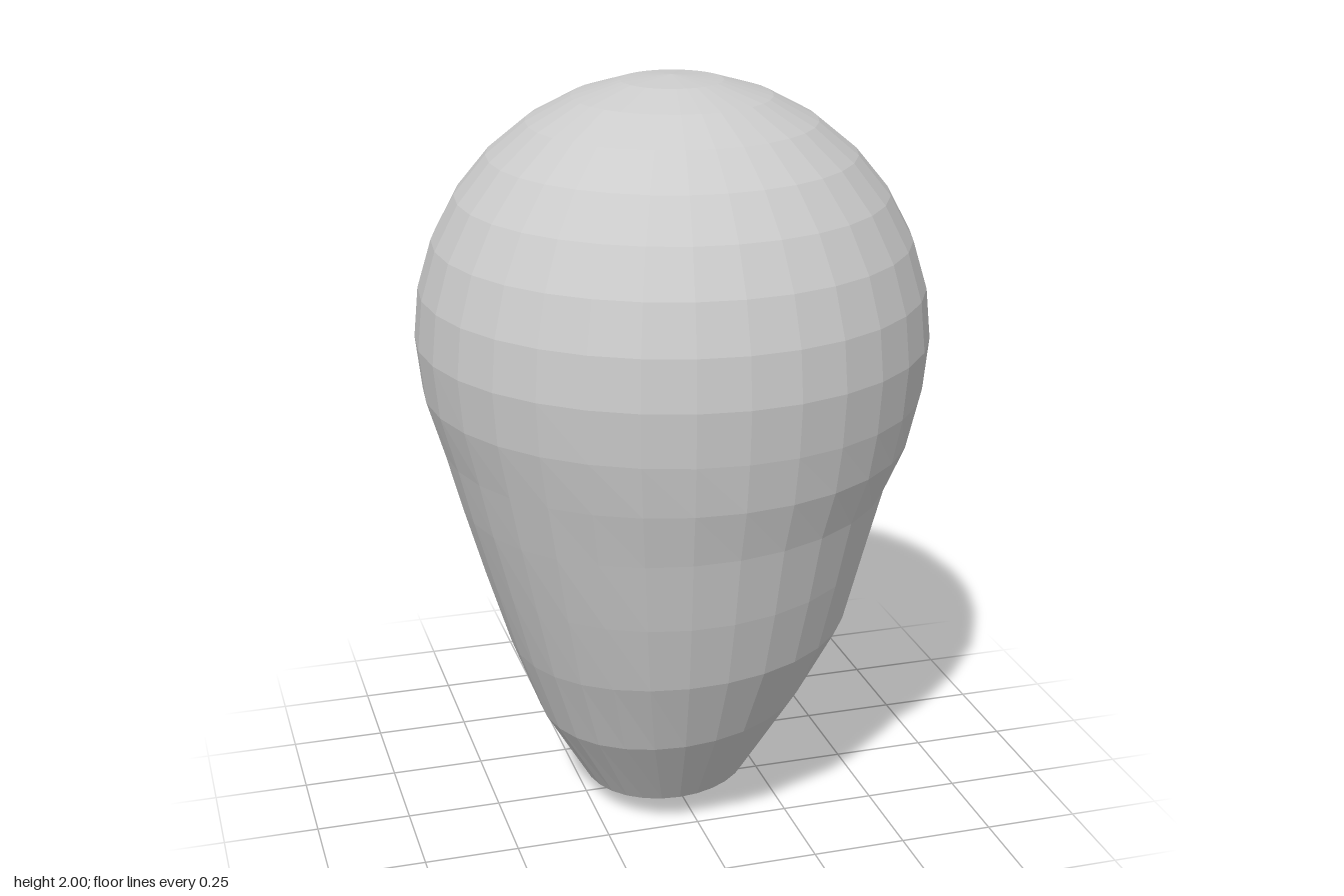
import * as THREE from 'three';

const SEGMENTS = 32, ROWS = 16, RADIUS = 0.67, CENTRE = 1.33;

// Lower rings, as [radius, height] towards +x, -x, +z and -z
const LOWER_RINGS = [
  [[0.655, 1.19], [0.655, 1.19], [0.66, 1.19], [0.655, 1.19]],
  [[0.62, 1.07], [0.61, 1.04], [0.64, 1.06], [0.62, 1.06]],
  [[0.56, 0.95], [0.57, 0.89], [0.6, 0.92], [0.565, 0.93]],
  [[0.51, 0.77], [0.515, 0.7], [0.56, 0.73], [0.535, 0.74]],
  [[0.455, 0.57], [0.45, 0.49], [0.51, 0.545], [0.465, 0.56]],
  [[0.35, 0.39], [0.375, 0.29], [0.41, 0.33], [0.36, 0.38]],
  [[0.2, 0.11], [0.25, 0.07], [0.245, 0.085], [0.225, 0.105]],
];

// Smooth blend around the ring that meets all four axis values
function around([px, nx, pz, nz], c, s) {
  return (px + nx + pz + nz) / 4 + (px - nx) / 2 * c + (pz - nz) / 2 * s
    + (px + nx - pz - nz) / 4 * (c * c - s * s);
}

export function createModel() {
  const group = new THREE.Group();
  group.name = 'taperedBulb';

  // Round dome whose lower half is drawn down into an uneven taper
  const geometry = new THREE.SphereGeometry(RADIUS, SEGMENTS, ROWS);
  geometry.translate(0, CENTRE, 0);
  const pos = geometry.attributes.position;
  for (let i = 0; i < pos.count; i++) {
    const row = Math.floor(i / (SEGMENTS + 1));
    if (row <= ROWS / 2) continue;
    if (row === ROWS) {
      pos.setXYZ(i, 0, 0, 0); // pointed base
      continue;
    }
    const ring = LOWER_RINGS[row - ROWS / 2 - 1];
    const angle = Math.atan2(pos.getZ(i), pos.getX(i));
    const c = Math.cos(angle), s = Math.sin(angle);
    const r = around(ring.map(p => p[0]), c, s);
    const y = around(ring.map(p => p[1]), c, s);
    pos.setXYZ(i, r * c, y, r * s);
  }
  geometry.computeVertexNormals();

  const body = new THREE.Mesh(
    geometry,
    new THREE.MeshStandardMaterial({ color: 0xcccccc, flatShading: true }),
  );
  body.name = 'body';
  group.add(body);
  return group;
}
